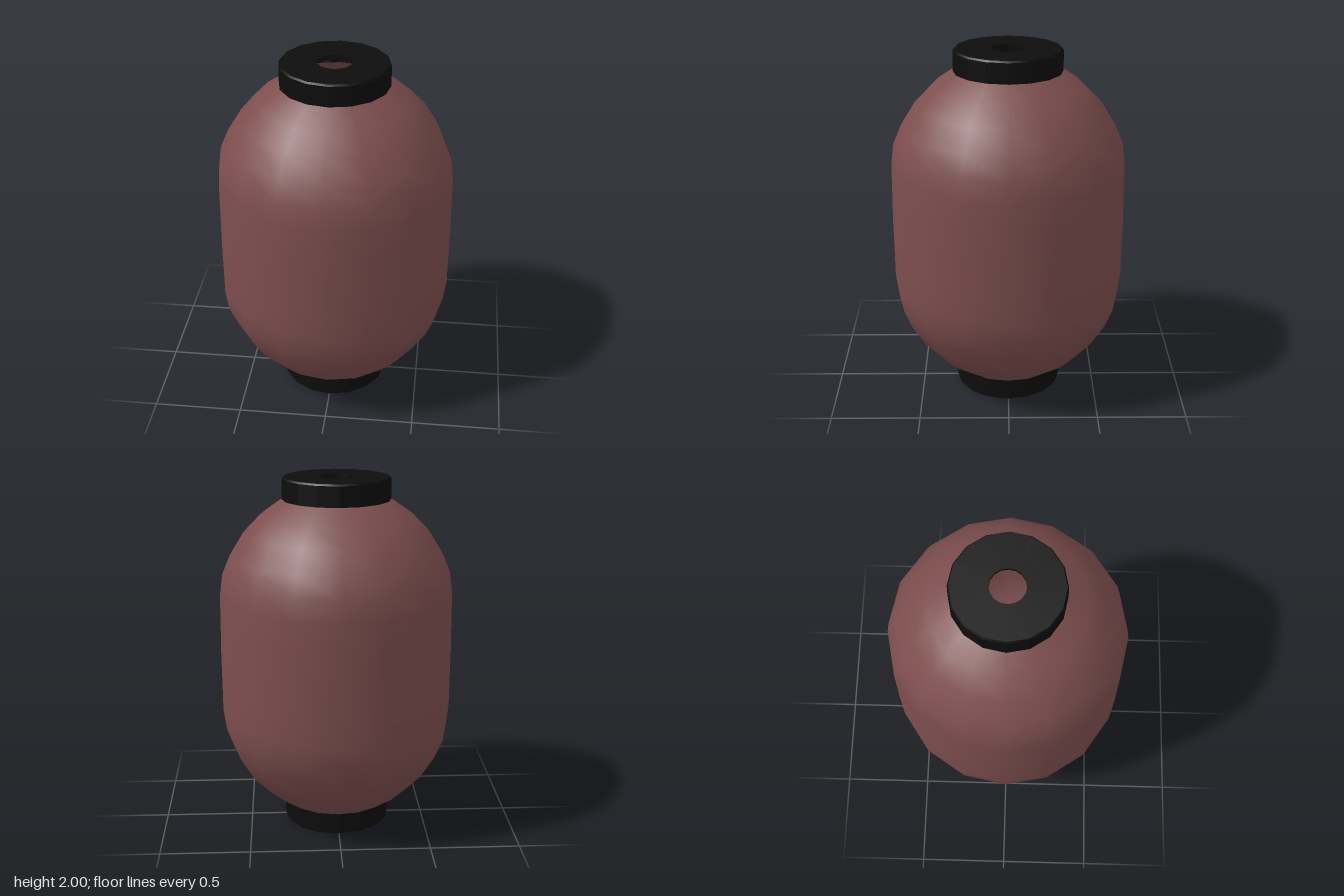
import * as THREE from 'three';
import { toCreasedNormals } from 'three/addons/utils/BufferGeometryUtils.js';

const SIDES = 16;

export function createModel() {
  const paper = new THREE.MeshStandardMaterial({ color: 0x7d4e4e, side: THREE.DoubleSide });
  paper.name = 'dusty red paper';
  const black = new THREE.MeshStandardMaterial({ color: 0x0d0d0d, side: THREE.DoubleSide });
  black.name = 'black lacquer';

  const model = new THREE.Group();
  model.name = 'paperLantern';

  const points = (list) => list.map(([r, y]) => new THREE.Vector2(r, y));
  const add = (name, geometry, material) => {
    const mesh = new THREE.Mesh(geometry, material);
    mesh.name = name;
    model.add(mesh);
  };

  // Paper shade: upper half profile (radius, height above the middle), mirrored downwards
  const half = [
    [0.655, 0.17], [0.654, 0.34], [0.638, 0.46], [0.592, 0.57],
    [0.512, 0.7], [0.42, 0.795], [0.298, 0.88],
  ];
  const profile = [
    ...half.slice().reverse().map(([r, h]) => [r, 1 - h]),
    [0.657, 1],
    ...half.map(([r, h]) => [r, 1 + h]),
  ];
  add('paperShade', new THREE.LatheGeometry(points(profile), SIDES), paper);

  // Top collar: hollow ring with a thin lid and a small vent hole
  const topCollar = new THREE.LatheGeometry(points([
    [0.302, 1.87], [0.3, 1.99], [0.293, 2], [0.095, 2], [0.095, 1.985],
  ]), SIDES);
  add('topCollar', toCreasedNormals(topCollar, 0.35), black);

  // Bottom collar: closed base
  const bottomCollar = new THREE.LatheGeometry(points([
    [0, 0], [0.293, 0], [0.3, 0.01], [0.302, 0.13],
  ]), SIDES);
  add('bottomCollar', toCreasedNormals(bottomCollar, 0.35), black);

  return model;
}
